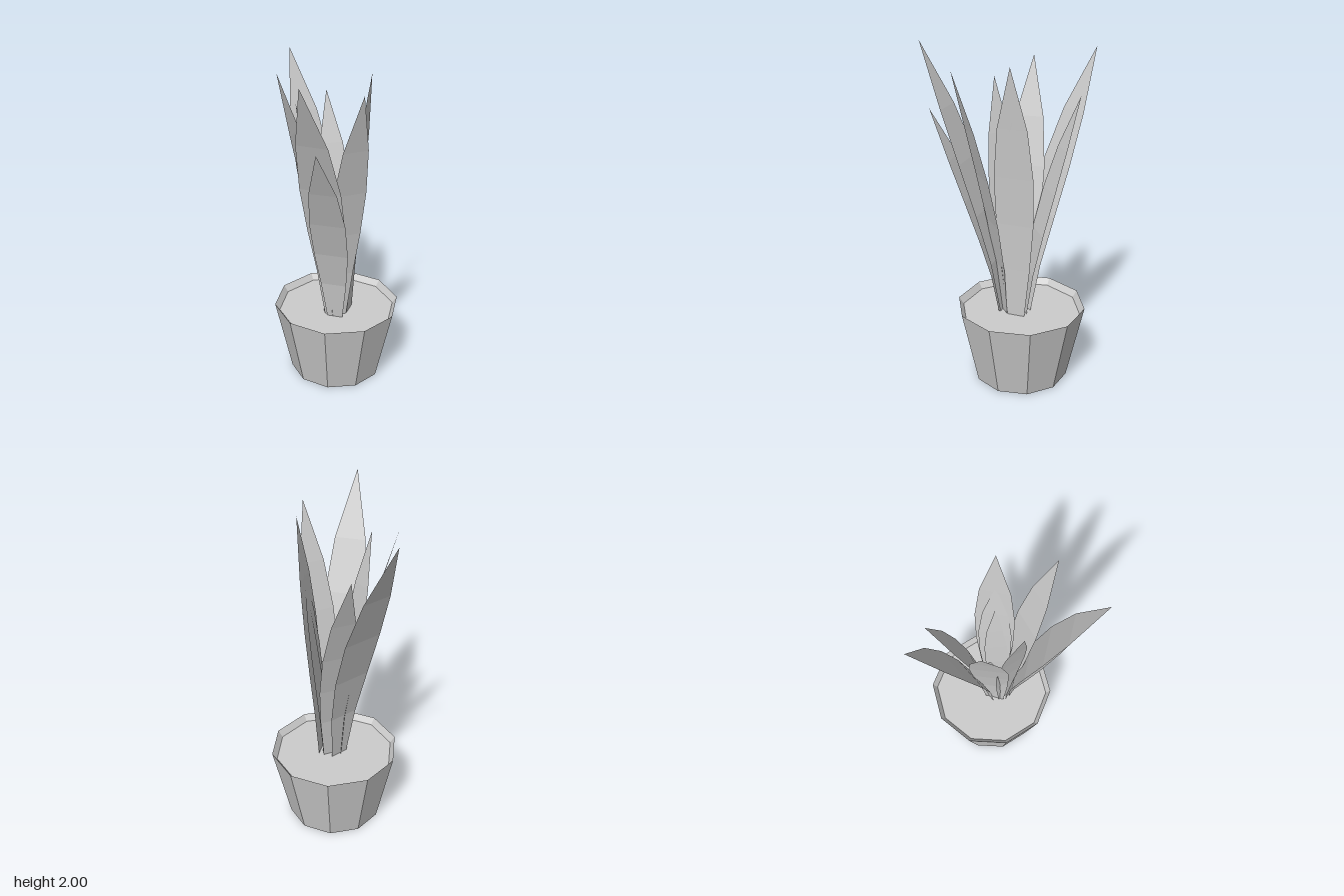
import * as THREE from 'three';

const SOIL_Y = 0.42;

// Leaf blade outline: [fraction of height, full width]
const BLADE = [[0, 0.11], [0.2, 0.18], [0.39, 0.235], [0.58, 0.245], [0.77, 0.185], [1, 0]];

// base x, base z, tip x, tip y, tip z, width scale
const LEAVES = [
  [0.07, -0.02, 0.14, 2.0, 0.48, 1],
  [0.085, -0.01, 0.185, 1.63, 0.395, 0.86],
  [0.1, -0.04, 0.335, 1.9, 0.15, 0.82],
  [0.0, -0.13, -0.42, 1.95, -0.355, 1],
  [0.05, -0.15, -0.18, 1.72, -0.375, 0.78],
  [0.0, -0.09, -0.3, 1.89, -0.015, 0.9],
  [0.025, -0.03, -0.09, 1.79, 0.13, 0.72],
  [0.12, -0.13, 0.23, 1.93, -0.147, 0.95],
  [0.1, -0.12, 0.2, 1.63, -0.14, 0.8],
  [0.08, -0.09, 0.17, 1.4, -0.135, 0.6],
  [0.0, -0.06, -0.12, 1.4, -0.05, 0.62],
];

// A flat-faced blade that curves outward from base to tip
function leafGeometry([bx, bz, tx, ty, tz, scale]) {
  const dx = tx - bx, dz = tz - bz, len = Math.hypot(dx, dz);
  const sx = dz / len, sz = -dx / len; // sideways, square to the lean
  const rows = BLADE.map(([t, w]) => {
    const out = Math.pow(t, 1.5), h = w * scale / 2;
    const x = bx + dx * out, y = SOIL_Y + (ty - SOIL_Y) * t, z = bz + dz * out;
    return [[x - sx * h, y, z - sz * h], [x + sx * h, y, z + sz * h]];
  });
  const pos = [];
  for (let i = 0; i < rows.length - 1; i++) {
    const [a, b] = rows[i], [c, d] = rows[i + 1];
    pos.push(...a, ...b, ...d);
    if (i < rows.length - 2) pos.push(...a, ...d, ...c);
  }
  const g = new THREE.BufferGeometry();
  g.setAttribute('position', new THREE.Float32BufferAttribute(pos, 3));
  g.computeVertexNormals();
  return g;
}

export function createModel() {
  const group = new THREE.Group();
  group.name = 'pottedPlant';
  const grey = new THREE.MeshStandardMaterial({ color: 0xcccccc, flatShading: true, side: THREE.DoubleSide });
  grey.name = 'light grey';

  // Ten-sided tapered pot with a bevelled inner rim, and the soil inside it
  const lathe = (name, points) => {
    const g = new THREE.LatheGeometry(points.map(p => new THREE.Vector2(...p)), 10);
    g.rotateY(Math.PI / 2);
    const mesh = new THREE.Mesh(g, grey);
    mesh.name = name;
    mesh.position.set(0.037, 0, -0.12);
    group.add(mesh);
  };
  lathe('pot', [[0, 0], [0.282, 0], [0.383, 0.46], [0.355, SOIL_Y]]);
  lathe('soil', [[0.355, SOIL_Y], [0, SOIL_Y]]);

  // Leaves
  const leaves = new THREE.Group();
  leaves.name = 'leaves';
  LEAVES.forEach((spec, i) => {
    const leaf = new THREE.Mesh(leafGeometry(spec), grey);
    leaf.name = `leaf${i + 1}`;
    leaves.add(leaf);
  });
  group.add(leaves);
  return group;
}
